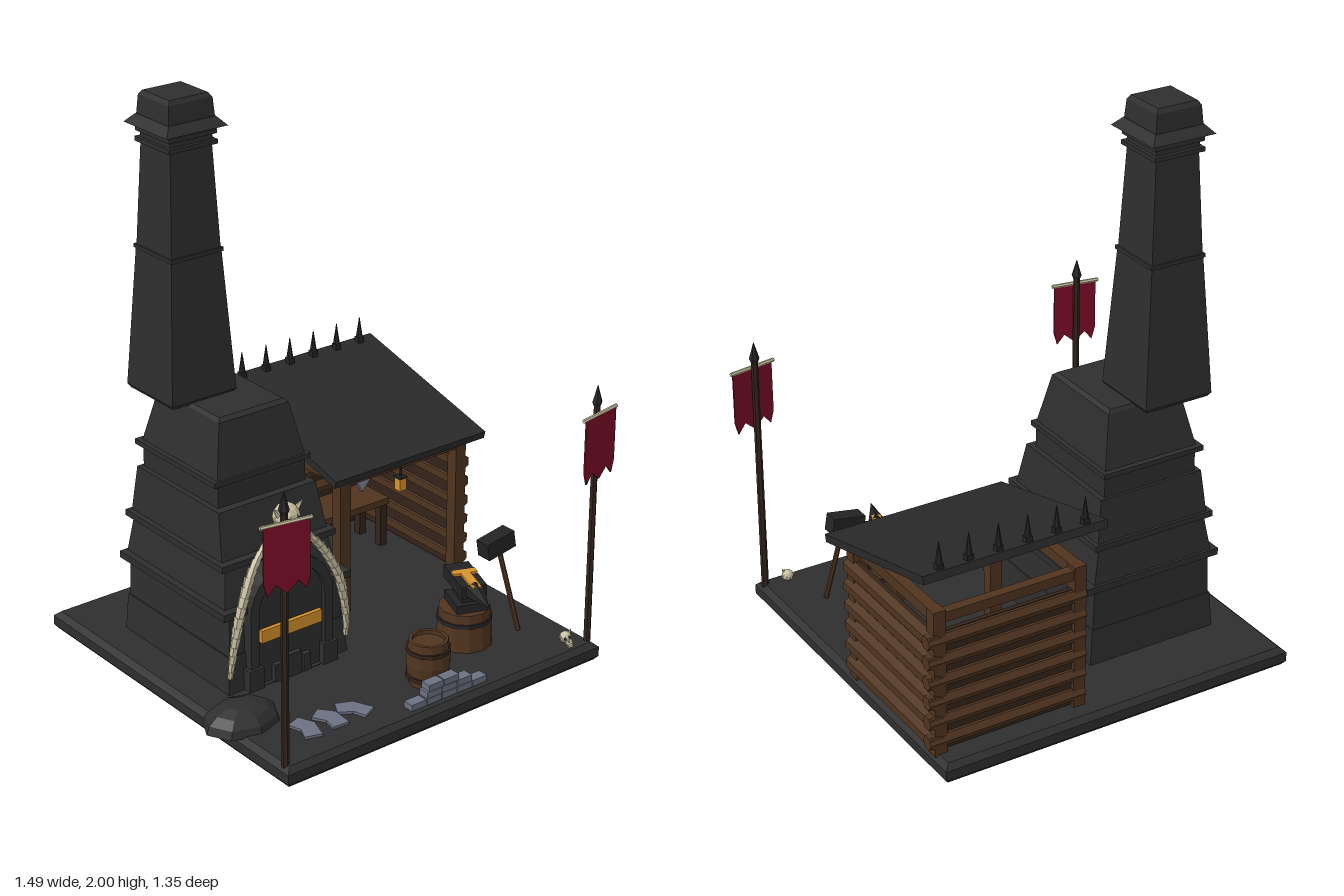
import * as THREE from 'three';

const mat = (name, color, extra = {}) => {
  const m = new THREE.MeshStandardMaterial({ color, ...extra });
  m.name = name;
  return m;
};

export function createModel() {
  const root = new THREE.Group();
  const stone = mat('dark stone', 0x2e2e2f);
  const slate = mat('roof slate', 0x29292a);
  const iron = mat('black iron', 0x232325);
  const wood = mat('brown wood', 0x50341f);
  const darkWood = mat('dark wood', 0x33231a);
  const bone = mat('bone', 0xc8bfa0);
  const cloth = mat('red cloth', 0x7c0c26, { side: THREE.DoubleSide });
  const glow = mat('hot orange', 0xd8932c);
  const steel = mat('blue grey steel', 0x6c7182);

  const add = (name, geo, m, pos = [0, 0, 0], rot = [0, 0, 0], parent = root) => {
    const flat = geo.index ? geo.toNonIndexed() : geo;
    flat.computeVertexNormals();
    const mesh = new THREE.Mesh(flat, m);
    mesh.name = name;
    mesh.position.set(...pos);
    mesh.rotation.set(...rot);
    parent.add(mesh);
    return mesh;
  };
  const box = (name, m, size, pos, rot, parent) =>
    add(name, new THREE.BoxGeometry(...size), m, pos, rot, parent);

  // Tapered block: bounds are [x0, x1, z0, z1] at the bottom and top
  const taper = (name, m, y0, b, y1, t = b) => {
    const g = new THREE.BoxGeometry(1, 1, 1), p = g.attributes.position;
    for (let i = 0; i < p.count; i++) {
      const top = p.getY(i) > 0, r = top ? t : b;
      p.setXYZ(i, p.getX(i) > 0 ? r[1] : r[0], top ? y1 : y0, p.getZ(i) > 0 ? r[3] : r[2]);
    }
    return add(name, g, m);
  };
  // Faceted rod between two points
  const rod = (name, m, a, b, r0, r1 = r0, sides = 6, parent = root) => {
    const A = new THREE.Vector3(...a), d = new THREE.Vector3(...b).sub(A);
    const g = new THREE.CylinderGeometry(r1, r0, d.length(), sides);
    const mesh = add(name, g, m, A.clone().addScaledVector(d, 0.5).toArray(), [0, 0, 0], parent);
    mesh.quaternion.setFromUnitVectors(new THREE.Vector3(0, 1, 0), d.normalize());
    return mesh;
  };

  // Ground slab with chamfered edges
  const sq = (e) => [-e, e, -e - 0.005, e];
  taper('slabFoot', stone, 0, sq(0.66), 0.015, sq(0.672));
  taper('slabBody', stone, 0.015, sq(0.672), 0.05, sq(0.672));
  taper('slabTop', stone, 0.05, sq(0.672), 0.068, sq(0.652));

  // Stepped furnace body
  taper('furnaceFoot', stone, 0.06, [-0.54, -0.04, -0.42, 0.18], 0.2, [-0.53, -0.05, -0.415, 0.17]);
  taper('furnaceLower', stone, 0.2, [-0.525, -0.055, -0.41, 0.165], 0.345, [-0.52, -0.06, -0.41, 0.16]);
  taper('furnaceLedge', stone, 0.345, [-0.555, -0.025, -0.42, 0.18], 0.37);
  taper('furnaceMiddle', stone, 0.37, [-0.53, -0.06, -0.41, 0.15], 0.5, [-0.505, -0.08, -0.4, 0.12]);
  taper('furnaceLedge', stone, 0.5, [-0.53, -0.06, -0.415, 0.14], 0.522);
  taper('furnaceUpper', stone, 0.522, [-0.51, -0.075, -0.405, 0.11], 0.68, [-0.49, -0.09, -0.395, 0.07]);
  taper('furnaceNeck', stone, 0.68, [-0.47, -0.11, -0.385, 0.04], 0.76);
  taper('furnaceLedge', stone, 0.76, [-0.49, -0.095, -0.405, 0.05], 0.778);
  taper('furnaceHood', stone, 0.778, [-0.472, -0.112, -0.385, 0.04], 0.96, [-0.432, -0.147, -0.345, 0]);
  taper('furnaceHoodTop', stone, 0.96, [-0.432, -0.147, -0.345, 0], 0.972, [-0.42, -0.16, -0.335, -0.015]);

  // Chimney from half-width profile: [y0, halfwidth0, y1, halfwidth1]
  const ch = (h) => [-0.373 - h, -0.373 + h, -0.29 - h, -0.29 + h];
  [[0.965, 0.12, 0.98, 0.13], [0.98, 0.13, 1.465, 0.1], [1.465, 0.105, 1.478, 0.105],
    [1.478, 0.098, 1.83, 0.082], [1.83, 0.096, 1.845, 0.096], [1.845, 0.083, 1.865, 0.083],
    [1.865, 0.094, 1.88, 0.094], [1.88, 0.085, 1.892, 0.085], [1.892, 0.12, 1.922, 0.092],
    [1.922, 0.09, 1.985, 0.085], [1.985, 0.085, 2, 0.075],
  ].forEach(([y0, a, y1, b]) => taper('chimney', stone, y0, ch(a), y1, ch(b)));

  // Arched furnace mouth
  const arch = (w, y0, spring, C = THREE.Shape) => {
    const s = new C();
    s.moveTo(-w, y0);
    s.lineTo(w, y0);
    s.lineTo(w, spring);
    s.absarc(0, spring, w, 0, Math.PI, false);
    s.lineTo(-w, y0);
    return s;
  };
  const ext = (s, depth) => new THREE.ExtrudeGeometry(s, { depth, bevelEnabled: false, curveSegments: 7 });
  const frame = arch(0.172, 0.06, 0.335);
  frame.holes.push(arch(0.137, 0.07, 0.335, THREE.Path));
  add('archFrame', ext(frame, 0.09), stone, [-0.29, 0, 0.11]);
  add('archDoor', ext(arch(0.14, 0.06, 0.335), 0.075), stone, [-0.29, 0, 0.11]);
  box('glowSlot', glow, [0.25, 0.046, 0.014], [-0.29, 0.252, 0.192]);
  for (const s of [-1, 1]) {
    box('archPlinth', stone, [0.06, 0.08, 0.1], [-0.29 + s * 0.155, 0.105, 0.16]);
    box('mouthStep', stone, [0.03, 0.065, 0.03], [-0.29 + s * 0.06, 0.1, 0.19]);
  }
  box('mouthStep', stone, [0.07, 0.085, 0.03], [-0.29, 0.11, 0.19]);

  // Skull built facing +z
  const skull = (pos, scale, rot) => {
    const g = new THREE.Group();
    g.name = 'skull';
    root.add(g);
    g.position.set(...pos);
    g.scale.setScalar(scale);
    g.rotation.set(...rot);
    add('cranium', new THREE.SphereGeometry(0.047, 10, 8), bone, [0, 0.01, -0.005], [0, 0, 0], g);
    box('snout', bone, [0.05, 0.035, 0.04], [0, -0.025, 0.028], [0, 0, 0], g);
    box('jaw', bone, [0.042, 0.014, 0.045], [0, -0.055, 0.028], [0.2, 0, 0], g);
    box('nose', iron, [0.01, 0.014, 0.004], [0, -0.02, 0.049], [0, 0, 0], g);
    for (const s of [-1, 1]) {
      add('eyeSocket', new THREE.CylinderGeometry(0.012, 0.012, 0.006, 6), iron, [s * 0.018, 0.008, 0.037], [Math.PI / 2, 0, 0], g);
      rod('horn', bone, [s * 0.035, 0.025, 0], [s * 0.06, 0.055, 0.005], 0.013, 0.001, 5, g);
      rod('fang', bone, [s * 0.018, -0.055, 0.045], [s * 0.022, -0.03, 0.052], 0.005, 0.001, 4, g);
    }
  };
  skull([-0.29, 0.64, 0.175], 1, [0, 0, 0]);
  skull([0.575, 0.09, 0.61], 0.45, [-0.3, -0.4, 0.2]);

  // Curved, segmented tusks either side of the mouth
  for (const s of [-1, 1]) {
    const curve = new THREE.CatmullRomCurve3([[0.06, 0.585, 0.155], [0.14, 0.5, 0.172], [0.2, 0.385, 0.19],
      [0.232, 0.25, 0.19], [0.245, 0.13, 0.18]].map(([x, y, z]) => new THREE.Vector3(-0.29 + s * x, y, z)));
    const n = 16;
    for (let i = 0; i < n; i++) {
      const r = 0.007 + 0.012 * Math.sin(Math.PI * (0.12 + 0.84 * i / n));
      rod('tuskSegment', bone, curve.getPoint(i / n).toArray(), curve.getPoint((i + 1.1) / n).toArray(), r, r * 0.82, 6);
    }
  }

  // Shed: posts, rails and log walls
  for (const x of [0.122, 0.645]) {
    for (const z of [-0.055, -0.58])
      box('shedPost', wood, [0.045, z < -0.5 ? 0.54 : 0.52, 0.045], [x, z < -0.5 ? 0.33 : 0.32, z]);
    box('sideRail', wood, [0.04, 0.04, 0.56], [x, 0.578, -0.32]);
  }
  for (const z of [-0.055, -0.58]) box('crossRail', wood, [0.56, 0.035, 0.035], [0.385, 0.57, z]);
  box('backPanel', darkWood, [0.54, 0.44, 0.016], [0.385, 0.295, -0.58]);
  box('sidePanel', darkWood, [0.016, 0.44, 0.54], [0.65, 0.295, -0.32]);
  for (let i = 0; i < 6; i++) {
    const y = 0.115 + i * 0.075;
    rod('backLog', wood, [0.1, y, -0.585], [0.688, y, -0.585], 0.026, 0.026, 6);
    rod('sideLog', wood, [0.66, y, -0.035], [0.66, y, -0.605], 0.028, 0.028, 6);
  }

  // Sloping roof with a row of spikes
  box('roof', slate, [0.675, 0.028, 0.668], [0.39, 0.677, -0.325], [0.255, 0, 0]);
  for (let i = 0; i < 6; i++) {
    const x = 0.12 + i * 0.107;
    box('spikeBase', iron, [0.024, 0.03, 0.024], [x, 0.773, -0.62]);
    rod('roofSpike', iron, [x, 0.785, -0.62], [x, 0.865, -0.62], 0.013, 0.001, 6);
  }

  // Lantern and workbench
  rod('lanternHook', iron, [0.39, 0.5, -0.06], [0.39, 0.57, -0.06], 0.004);
  box('lantern', glow, [0.03, 0.045, 0.03], [0.39, 0.48, -0.06]);
  box('lanternCap', iron, [0.034, 0.008, 0.034], [0.39, 0.506, -0.06]);
  box('benchTop', wood, [0.38, 0.025, 0.16], [0.39, 0.245, -0.43]);
  for (const x of [0.22, 0.56]) for (const z of [-0.37, -0.49])
    box('benchLeg', darkWood, [0.03, 0.17, 0.03], [x, 0.15, z]);
  const shard = new THREE.Shape([[-0.04, -0.035], [0.02, -0.05], [0.045, 0.01], [0.02, 0.055], [-0.035, 0.04], [-0.02, 0]]
    .map((p) => new THREE.Vector2(...p)));
  add('benchPlate', ext(shard, 0.012), steel, [0.52, 0.315, -0.46], [-0.3, 0, 0.9]);

  // Banner poles at the front corners
  for (const s of [-1, 1]) {
    const g = new THREE.Group();
    g.name = 'bannerPole';
    root.add(g);
    g.position.set(s * 0.652, 0, 0.632);
    g.rotation.y = s * 0.17;
    rod('pole', darkWood, [0, 0.05, 0], [0, 0.95, 0], 0.013, 0.012, 6, g);
    rod('spearCollar', iron, [0, 0.935, 0], [0, 0.96, 0], 0.008, 0.018, 6, g);
    rod('spearTip', iron, [0, 0.96, 0], [0, 1.02, 0], 0.018, 0.001, 6, g);
    rod('crossbar', bone, [-0.09, 0.922, 0.014], [0.09, 0.922, 0.014], 0.007, 0.007, 6, g);
    const flag = new THREE.Shape([[-0.081, 0.92], [-0.081, 0.73], [-0.068, 0.685], [-0.04, 0.72], [0, 0.685],
      [0.04, 0.72], [0.068, 0.685], [0.081, 0.73], [0.081, 0.92]].map((p) => new THREE.Vector2(...p)));
    add('banner', ext(flag, 0.006), cloth, [0, 0, 0.014], [0, 0, 0], g);
  }

  // Coal mound and scattered plates
  const mound = add('coalMound', new THREE.SphereGeometry(1, 8, 4, 0, Math.PI * 2, 0, Math.PI / 2), stone, [-0.6, 0.062, 0.33]);
  mound.scale.set(0.14, 0.075, 0.112);
  [-0.475, -0.375, -0.275].forEach((x, i) =>
    add('metalPlate', ext(shard, 0.01), steel, [x, 0.067, 0.51], [-Math.PI / 2, 0, [0, 0.25, 0.75][i]]).scale.set(1, 1.25, 1));

  // Stacked ingots
  [[5, 0.03], [3, 0.03], [2, 0.005]].forEach(([n, cx], row) => {
    for (let i = 0; i < n; i++)
      box('ingot', steel, [0.062, 0.022, 0.04], [cx + (i - (n - 1) / 2) * 0.066, 0.08 + row * 0.024, 0.613]);
  });

  // Water barrel and anvil stump
  const lathe = (pts) => new THREE.LatheGeometry(pts.map((p) => new THREE.Vector2(...p)), 12);
  add('barrel', lathe([[0, 0], [0.065, 0], [0.076, 0.08], [0.068, 0.165], [0.056, 0.165], [0.056, 0.15], [0, 0.15]]), wood, [0.04, 0.065, 0.51]);
  for (const y of [0.1, 0.195]) add('barrelHoop', new THREE.CylinderGeometry(0.077, 0.077, 0.014, 12, 1), darkWood, [0.04, y, 0.51]);
  add('stump', new THREE.CylinderGeometry(0.09, 0.1, 0.14, 12), wood, [0.32, 0.135, 0.37]);
  add('stumpHoop', new THREE.CylinderGeometry(0.097, 0.098, 0.014, 12), iron, [0.32, 0.165, 0.37]);

  // Anvil with horn and a hot blade on it
  const anvil = new THREE.Group();
  anvil.name = 'anvil';
  root.add(anvil);
  anvil.position.set(0.325, 0, 0.37);
  anvil.rotation.y = -0.36;
  box('anvilFoot', iron, [0.11, 0.03, 0.13], [0, 0.22, 0], [0, 0, 0], anvil);
  box('anvilWaist', iron, [0.06, 0.05, 0.09], [0, 0.255, 0], [0, 0, 0], anvil);
  box('anvilTop', iron, [0.09, 0.045, 0.18], [0, 0.29, -0.01], [0, 0, 0], anvil);
  rod('anvilHorn', iron, [0, 0.295, 0.08], [0, 0.3, 0.22], 0.034, 0.002, 6, anvil);
  box('hotBlade', glow, [0.034, 0.009, 0.13], [0, 0.317, 0.04], [0, 0, 0], anvil);
  box('hotGuard', glow, [0.085, 0.009, 0.03], [0, 0.317, -0.02], [0, 0, 0], anvil);

  // Sledgehammer leaning on the stump
  rod('hammerHandle', wood, [0.512, 0.07, 0.435], [0.462, 0.4, 0.37], 0.009, 0.009, 6);
  box('hammerHead', iron, [0.122, 0.062, 0.058], [0.463, 0.392, 0.365], [0, 0, 0.17]);

  return root;
}
